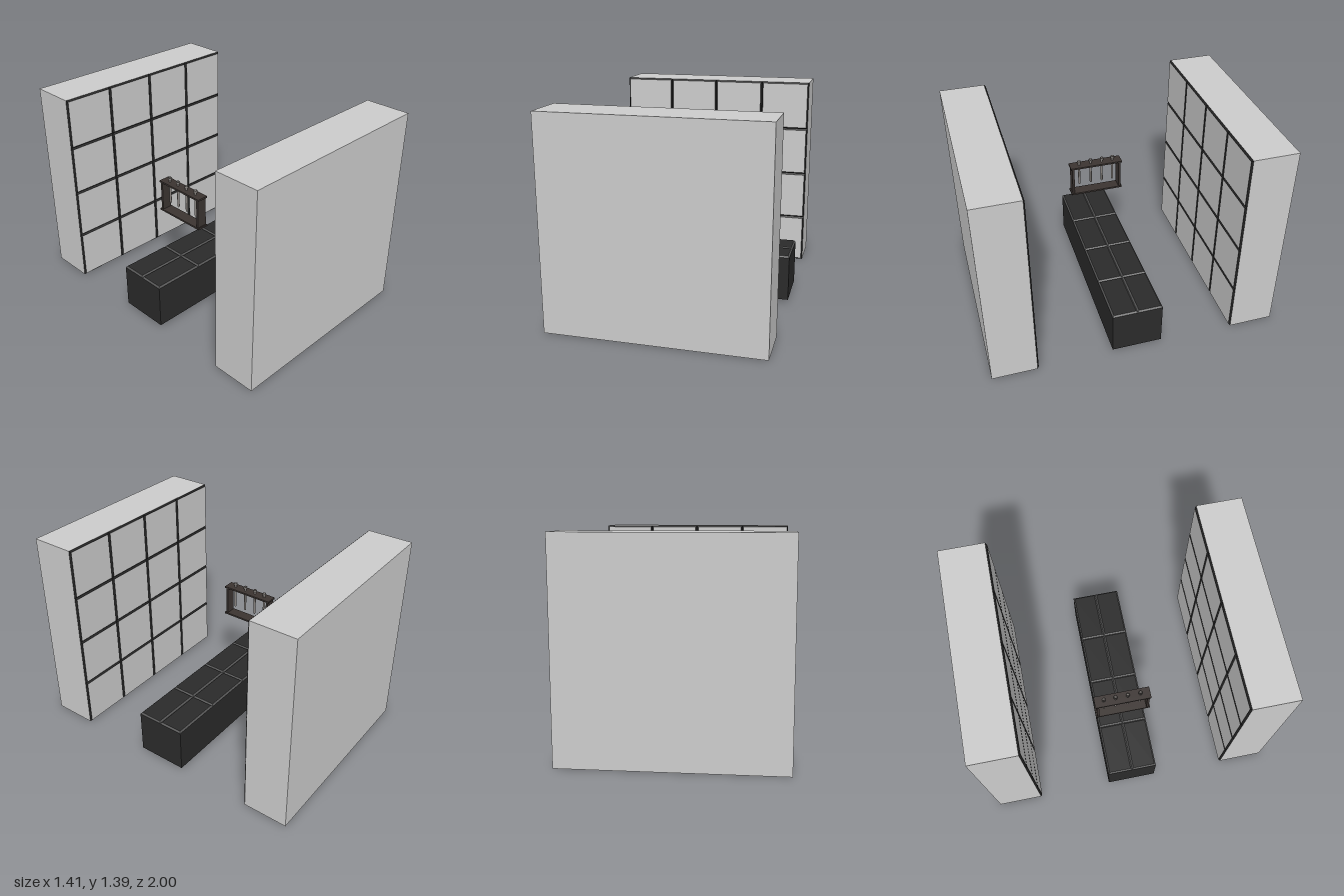
import * as THREE from 'three';

const mat = (color, side = THREE.FrontSide) => new THREE.MeshStandardMaterial({ color, side });
const grey = mat(0xcccccc);
const groove = mat(0x222222);
const black = mat(0x2a2a2a);
const benchGroove = mat(0x555555);
const wood = mat(0x3b3431);
const glass = mat(0x85807c, THREE.DoubleSide);

const W = 1.41, H = 1.39;        // wall width and height
const BEVEL = 0.01;              // inset and height of each tile's chamfer

function add(parent, name, geometry, material, x = 0, y = 0, z = 0) {
  const mesh = new THREE.Mesh(geometry, material);
  mesh.name = name;
  mesh.position.set(x, y, z);
  parent.add(mesh);
  return mesh;
}

const box = (w, h, d) => new THREE.BoxGeometry(w, h, d);

// Box whose +z face is drawn in, giving a chamfered tile
function tileGeometry(w, h) {
  const g = box(w, h, BEVEL);
  const p = g.attributes.position;
  for (let i = 0; i < p.count; i++) {
    if (p.getZ(i) > 0) {
      p.setX(i, p.getX(i) - Math.sign(p.getX(i)) * BEVEL);
      p.setY(i, p.getY(i) - Math.sign(p.getY(i)) * BEVEL);
    }
  }
  g.computeVertexNormals();
  return g;
}

// Grid of chamfered tiles in the xy plane, facing +z, with differently coloured faces
function tileGrid(name, width, height, cols, rows, faceMat, edgeMat) {
  const group = new THREE.Group();
  group.name = name;
  const w = width / cols, h = height / rows;
  const edge = tileGeometry(w, h);
  const face = new THREE.PlaneGeometry(w - 2 * BEVEL, h - 2 * BEVEL);
  for (let i = 0; i < cols; i++) {
    for (let j = 0; j < rows; j++) {
      const x = (i + 0.5) * w - width / 2, y = (j + 0.5) * h - height / 2;
      add(group, 'tileEdge', edge, edgeMat, x, y, BEVEL / 2);
      add(group, 'tileFace', face, faceMat, x, y, BEVEL + 0.001);
    }
  }
  return group;
}

// Wall block with its tiled side facing +z
function makeWall(name) {
  const wall = new THREE.Group();
  wall.name = name;
  add(wall, 'wallBlock', box(W, H, 0.307), grey, 0, H / 2, -0.8465);
  const tiles = tileGrid('wallTiles', W, H, 4, 4, grey, groove);
  tiles.position.set(0, H / 2, -0.693);
  wall.add(tiles);
  return wall;
}

function makeBench() {
  const bench = new THREE.Group();
  bench.name = 'bench';
  add(bench, 'benchBlock', box(W, 0.302, 0.346), black, 0, 0.173, 0);
  const tiles = tileGrid('benchTiles', W, 0.346, 4, 2, black, benchGroove);
  tiles.rotation.x = -Math.PI / 2;
  tiles.position.y = 0.324;
  bench.add(tiles);
  return bench;
}

function makeRack() {
  const rack = new THREE.Group();
  rack.name = 'tubeRack';
  rack.position.x = -0.32;
  add(rack, 'topShelf', box(0.08, 0.012, 0.38), wood, 0, 0.853, 0);
  add(rack, 'bottomShelf', box(0.08, 0.012, 0.38), wood, 0, 0.636, 0);
  for (const s of [-1, 1]) add(rack, 'rackEnd', box(0.07, 0.205, 0.016), wood, 0, 0.7445, s * 0.173);

  // Test tube: rounded base, flared rim, open mouth
  const profile = [[0, 0.692], [0.005, 0.694], [0.008, 0.702], [0.008, 0.872], [0.013, 0.878],
    [0.013, 0.89], [0.009, 0.89], [0.006, 0.87], [0.006, 0.705], [0, 0.7]];
  const tube = new THREE.LatheGeometry(profile.map(([x, y]) => new THREE.Vector2(x, y)), 16);
  for (const z of [-0.127, -0.047, 0.036, 0.122]) add(rack, 'testTube', tube, glass, 0, 0, z);
  return rack;
}

export function createModel() {
  const model = new THREE.Group();
  model.name = 'tiledRoom';
  const back = makeWall('backWall');
  const front = makeWall('frontWall');
  front.rotation.y = Math.PI;
  model.add(back, front, makeBench(), makeRack());
  return model;
}
